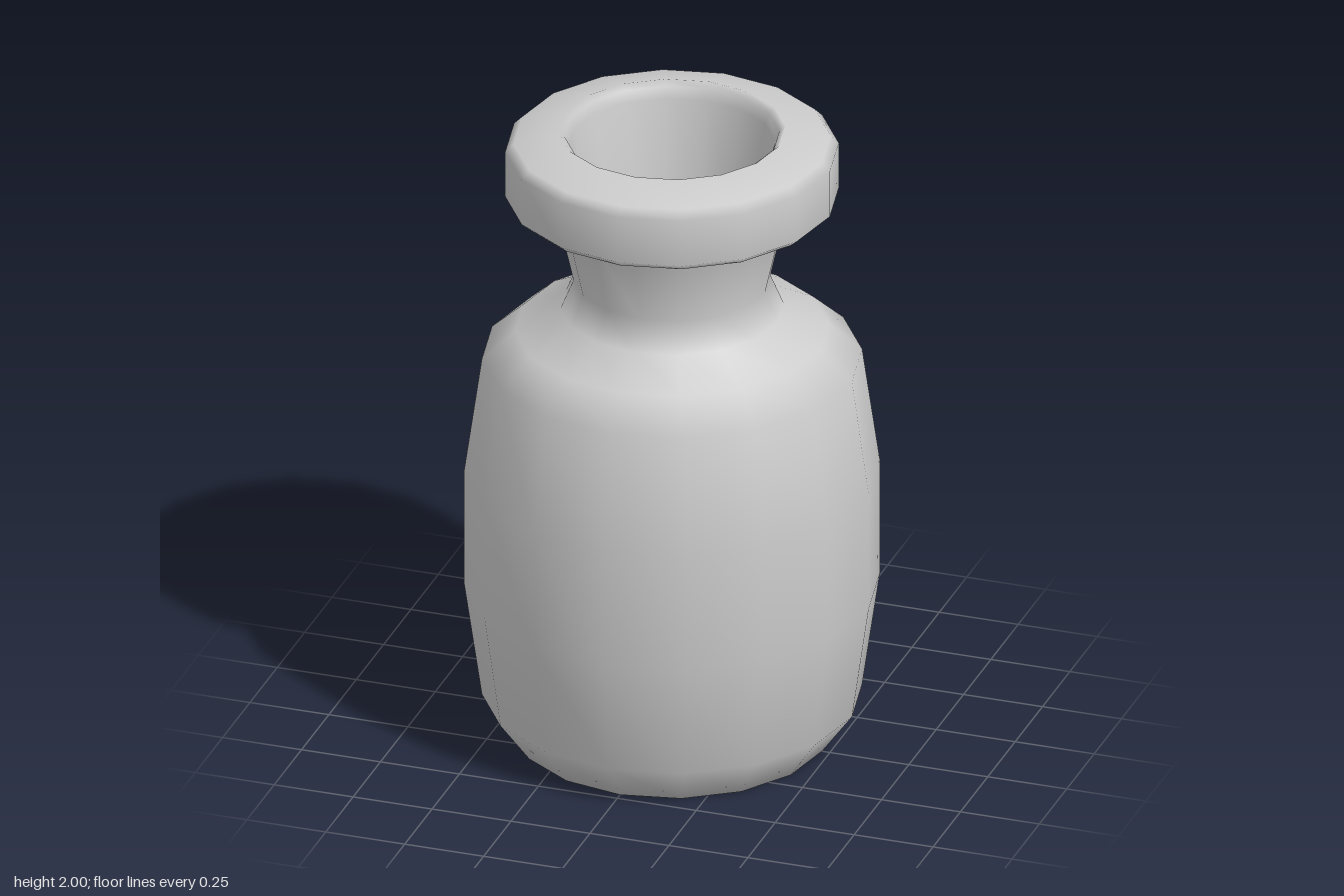
import * as THREE from 'three';

const SIDES = 16;

// Closed profile as [radius, height]: under the base, up the outside, over the rim, down the inside
const outside = [
  [0, 0], [0.475, 0], [0.57, 0.13], [0.623, 0.5], [0.623, 0.88], [0.57, 1.25],
  [0.47, 1.34], [0.335, 1.41], [0.295, 1.505], [0.345, 1.725], [0.37, 1.742],
  [0.475, 1.768], [0.5, 1.79], [0.5, 1.94], [0.475, 1.965], [0.34, 2],
];
const inside = [
  [0.322, 1.985], [0.31, 1.95], [0.262, 1.7], [0.244, 1.5], [0.29, 1.38],
  [0.43, 1.3], [0.52, 1.22], [0.573, 0.87], [0.573, 0.5], [0.525, 0.16],
  [0.45, 0.05], [0, 0.05],
];

export function createModel() {
  const group = new THREE.Group();
  group.name = 'jar';

  // Hollow body with neck and thick rim
  const profile = [...outside, ...inside].map(([r, y]) => new THREE.Vector2(r, y));
  const body = new THREE.Mesh(
    new THREE.LatheGeometry(profile, SIDES),
    new THREE.MeshStandardMaterial({ color: 0xcccccc })
  );
  body.name = 'jarBody';
  group.add(body);

  return group;
}
